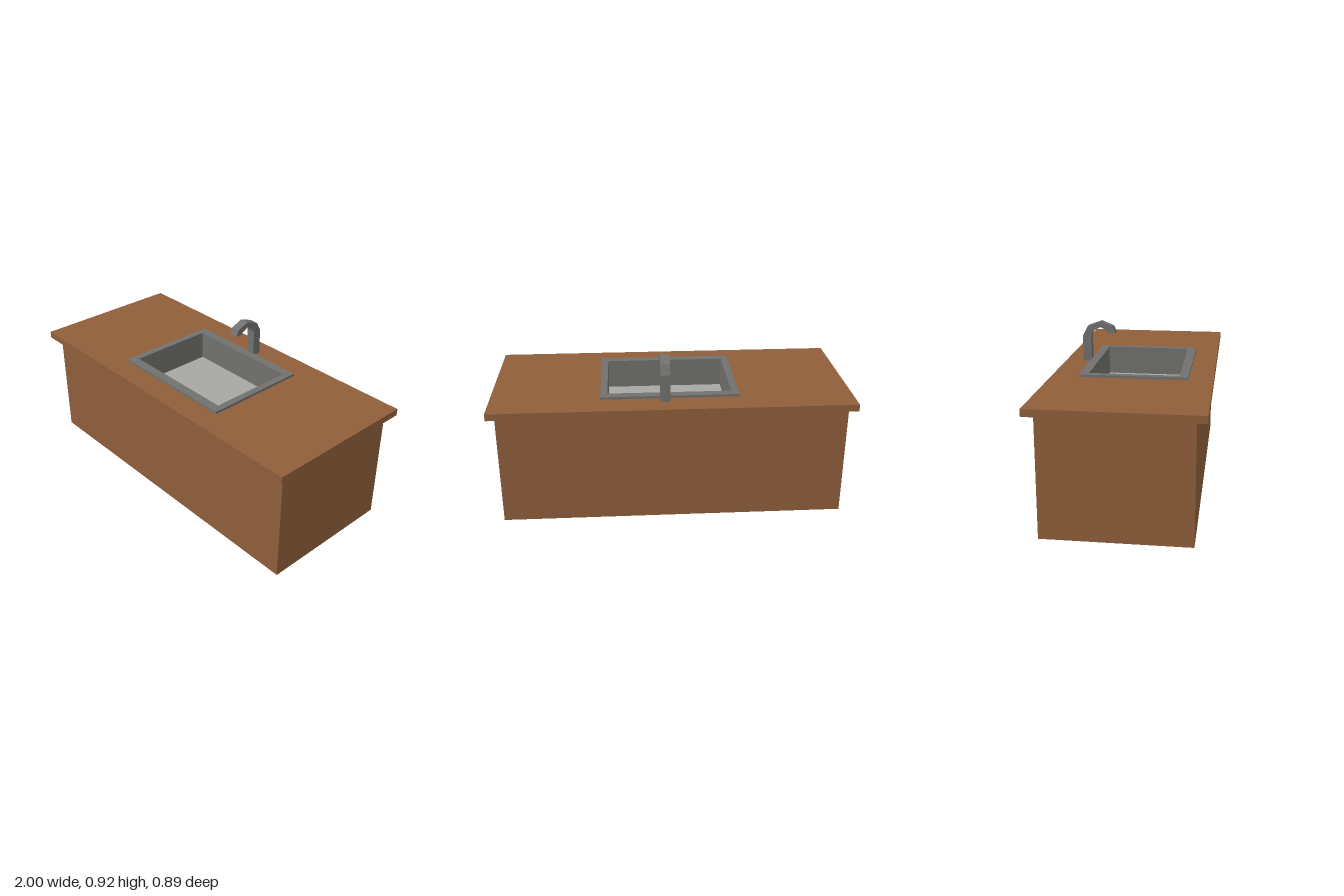
import * as THREE from 'three';

const material = (name, color) => {
  const m = new THREE.MeshStandardMaterial({ color });
  m.name = name;
  return m;
};

// Rectangle given as [x0, x1, z0, z1], traced for extrusion upwards
function rectangle(Type, [x0, x1, z0, z1]) {
  return new Type([[x0, -z1], [x1, -z1], [x1, -z0], [x0, -z0]].map(([x, y]) => new THREE.Vector2(x, y)));
}

// Horizontal slab with a rectangular opening, from height y0 to y1
function frame(outer, inner, y0, y1) {
  const shape = rectangle(THREE.Shape, outer);
  shape.holes.push(rectangle(THREE.Path, inner));
  return new THREE.ExtrudeGeometry(shape, { depth: y1 - y0, bevelEnabled: false })
    .rotateX(-Math.PI / 2).translate(0, y0, 0);
}

export function createModel() {
  const wood = material('wood', 0x8f5e3a);
  const steel = material('dark steel', 0x70706e);
  const basinGrey = material('light basin grey', 0xa7a7a5);
  const group = new THREE.Group();
  const add = (name, geometry, mat) => {
    const mesh = new THREE.Mesh(geometry, mat);
    mesh.name = name;
    group.add(mesh);
  };

  const rimOuter = [-0.37, 0.396, -0.29, 0.308];
  const basinInner = [-0.33, 0.357, -0.24, 0.256];
  const basinOuter = [-0.345, 0.372, -0.255, 0.271];

  // Cabinet, open at the top so the basin can drop into it
  const cabinet = new THREE.BoxGeometry(1.92, 0.647, 0.78).translate(0, 0.3235, 0);
  cabinet.groups.splice(2, 1);
  add('cabinet', cabinet, Array(6).fill(wood));

  // Overhanging worktop with the sink cutout
  add('countertop', frame([-1, 1, -0.443, 0.443], basinOuter, 0.647, 0.686), wood);

  // Sink: raised rim, straight walls and pale floor
  add('sinkRim', frame(rimOuter, basinInner, 0.686, 0.7), steel);
  add('basinWalls', frame(basinOuter, basinInner, 0.53, 0.686), steel);
  const [x0, x1, z0, z1] = basinOuter;
  add('basinFloor', new THREE.BoxGeometry(x1 - x0, 0.01, z1 - z0)
    .translate((x0 + x1) / 2, 0.526, (z0 + z1) / 2), basinGrey);

  // Faucet: angular gooseneck profile in (z, y), extruded across x
  const profile = [
    [-0.34, 0.686], [-0.29, 0.686], [-0.29, 0.841], [-0.279, 0.868], [-0.234, 0.889],
    [-0.197, 0.869], [-0.197, 0.857], [-0.147, 0.857], [-0.163, 0.893], [-0.234, 0.922],
    [-0.312, 0.893], [-0.34, 0.839],
  ].map(([z, y]) => new THREE.Vector2(z, y));
  add('faucet', new THREE.ExtrudeGeometry(new THREE.Shape(profile), { depth: 0.053, bevelEnabled: false })
    .rotateY(-Math.PI / 2).translate(0.069, 0, 0), steel);

  return group;
}
